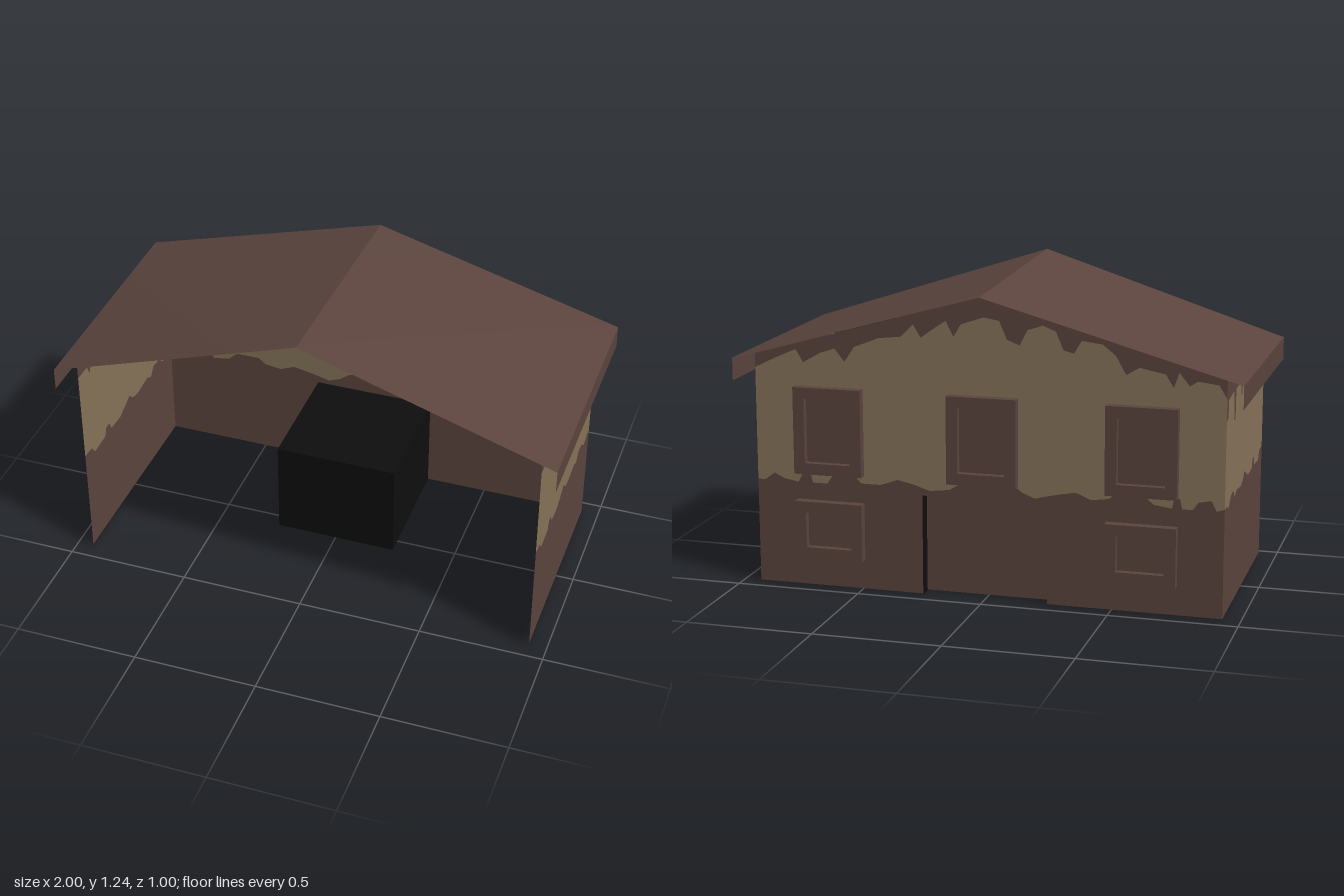
import * as THREE from 'three';

const mat = (name, color) => new THREE.MeshStandardMaterial({ name, color, side: THREE.DoubleSide });

// Flat shape between a lower edge and an upper edge, both listed in the same direction
function band(lower, upper) {
  const pts = [...lower, ...[...upper].reverse()].map(([x, y]) => new THREE.Vector2(x, y));
  return new THREE.ShapeGeometry(new THREE.Shape(pts));
}

function add(parent, name, geometry, material, x = 0, y = 0, z = 0) {
  const mesh = new THREE.Mesh(geometry, material);
  mesh.name = name;
  mesh.position.set(x, y, z);
  parent.add(mesh);
  return mesh;
}

// Four-cornered flat panel
function quad(a, b, c, d) {
  const g = new THREE.BufferGeometry();
  g.setAttribute('position', new THREE.Float32BufferAttribute([...a, ...b, ...c, ...d], 3));
  g.setIndex([0, 1, 2, 0, 2, 3]);
  g.computeVertexNormals();
  return g;
}

// Wall made of brown base, tan plaster and brown drips under the roof
function wall(name, base, low, high, top, brown, tan) {
  const g = new THREE.Group();
  g.name = name;
  add(g, name + 'Base', band(base, low), brown);
  add(g, name + 'Plaster', band(low, high), tan);
  add(g, name + 'Drips', band(high, top), brown);
  return g;
}

// Raised window: frame with an opening and a sunken pane
function windowUnit(width, height, brown) {
  const g = new THREE.Group();
  g.name = 'window';
  const rect = (w, h, T) => new T([[-w, -h], [w, -h], [w, h], [-w, h]]
    .map(([x, y]) => new THREE.Vector2(x / 2, y / 2)));
  const frame = rect(width, height, THREE.Shape);
  frame.holes.push(rect(width - 0.09, height - 0.09, THREE.Path));
  add(g, 'windowFrame', new THREE.ExtrudeGeometry(frame, { depth: 0.036, bevelEnabled: false }), brown, 0, 0, -0.49);
  add(g, 'windowPane', new THREE.BoxGeometry(width - 0.09, height - 0.09, 0.008), brown, 0, 0, -0.459);
  return g;
}

export function createModel() {
  const model = new THREE.Group();
  model.name = 'house';
  const brown = mat('darkBrown', 0x5b443d);
  const tan = mat('tanPlaster', 0x867359);
  const black = mat('black', 0x0e0e0e);

  // Back wall with gable and door opening
  const backLow = [[-0.93, 0.43], [-0.9, 0.42], [-0.88, 0.46], [-0.83, 0.45], [-0.81, 0.42], [-0.77, 0.42],
    [-0.76, 0.46], [-0.74, 0.46], [-0.73, 0.42], [-0.66, 0.43], [-0.62, 0.465], [-0.52, 0.465], [-0.49, 0.44],
    [-0.42, 0.43], [-0.36, 0.455], [-0.28, 0.44], [-0.2, 0.42], [-0.15, 0.44], [-0.11, 0.47], [-0.06, 0.48],
    [0.0, 0.465], [0.06, 0.475], [0.1, 0.455], [0.14, 0.43], [0.22, 0.42], [0.28, 0.44], [0.35, 0.455],
    [0.42, 0.43], [0.5, 0.43], [0.53, 0.465], [0.61, 0.465], [0.64, 0.42], [0.7, 0.42], [0.71, 0.46],
    [0.74, 0.46], [0.76, 0.42], [0.82, 0.43], [0.86, 0.45], [0.9, 0.42], [0.93, 0.42]];
  const backHigh = [[-0.93, 0.85], [-0.9, 0.9], [-0.82, 0.91], [-0.79, 0.89], [-0.75, 0.94], [-0.73, 0.88],
    [-0.7, 0.93], [-0.6, 0.95], [-0.55, 0.92], [-0.51, 0.99], [-0.46, 1.03], [-0.38, 1.04], [-0.35, 0.99],
    [-0.31, 1.0], [-0.28, 1.07], [-0.23, 1.09], [-0.17, 1.07], [-0.14, 1.01], [-0.09, 1.03], [-0.06, 1.1],
    [0.0, 1.11], [0.09, 1.08], [0.12, 1.03], [0.15, 1.09], [0.21, 1.05], [0.25, 1.02], [0.28, 1.07],
    [0.33, 1.02], [0.42, 1.01], [0.52, 0.97], [0.56, 0.91], [0.6, 0.96], [0.66, 0.94], [0.73, 0.9],
    [0.76, 0.95], [0.85, 0.91], [0.93, 0.87]];
  const backBase = [[-0.93, 0.004], [-0.25, 0.004], [-0.25, 0.4], [0.25, 0.4], [0.25, 0.004], [0.93, 0.004]];
  const back = wall('backWall', backBase, backLow, backHigh,
    [[-0.93, 0.925], [0, 1.19], [0.93, 0.925]], brown, tan);
  back.position.z = -0.44;
  model.add(back);

  // Side walls, drawn along z and turned into place
  const sideLow = [[-0.44, 0.43], [-0.4, 0.43], [-0.35, 0.415], [-0.31, 0.45], [-0.25, 0.455], [-0.22, 0.42],
    [-0.18, 0.44], [-0.08, 0.43], [-0.03, 0.44], [0, 0.47], [0.05, 0.45], [0.1, 0.43], [0.19, 0.435],
    [0.205, 0.47], [0.235, 0.47], [0.25, 0.435], [0.35, 0.43], [0.38, 0.465], [0.44, 0.47]];
  const sideHigh = [[-0.44, 0.76], [-0.41, 0.77], [-0.4, 0.84], [-0.28, 0.85], [-0.275, 0.735], [-0.245, 0.735],
    [-0.24, 0.85], [-0.125, 0.85], [-0.115, 0.8], [-0.095, 0.8], [-0.09, 0.85], [0.08, 0.85], [0.095, 0.81],
    [0.11, 0.85], [0.18, 0.85], [0.19, 0.815], [0.2, 0.85], [0.32, 0.85], [0.34, 0.81], [0.36, 0.85], [0.44, 0.85]];
  for (const [name, s] of [['leftWall', 1], ['rightWall', -1]]) {
    const side = wall(name, [[-0.44, 0.004], [0.44, 0.012]], sideLow, sideHigh,
      [[-0.44, 0.925], [0.44, 0.925]], brown, tan);
    side.rotation.y = -Math.PI / 2;
    side.position.x = s * 0.93;
    model.add(side);
  }

  // Roof slopes, ridge falling toward the back, with a fascia along each eave
  for (const s of [1, -1]) {
    add(model, 'roofSlope', quad([0, 1.24, 0.5], [s, 0.915, 0.5], [s, 0.915, -0.5], [0, 1.195, -0.5]), brown);
    add(model, 'eaveFascia', quad([s, 0.915, 0.5], [s, 0.825, 0.5], [s, 0.825, -0.5], [s, 0.915, -0.5]), brown);
  }

  // Entry box: sides, top and front only
  const entry = new THREE.BoxGeometry(0.5, 0.4, 0.5);
  const idx = Array.from(entry.index.array);
  entry.setIndex([...idx.slice(0, 18), ...idx.slice(24, 30)]);
  entry.clearGroups();
  add(model, 'entryBox', entry, black, 0, 0.2, -0.19);

  // Recessed door
  add(model, 'door', new THREE.PlaneGeometry(0.498, 0.394), brown, 0, 0.201, -0.387);

  // Three upper windows and two lower ones
  for (const x of [-0.62, 0, 0.62]) {
    for (const [y, h] of [[0.6375, 0.345], [0.24, 0.23]]) {
      if (x === 0 && y < 0.4) continue;
      const w = windowUnit(0.275, h, brown);
      w.position.set(x, y, 0);
      model.add(w);
    }
  }
  return model;
}
